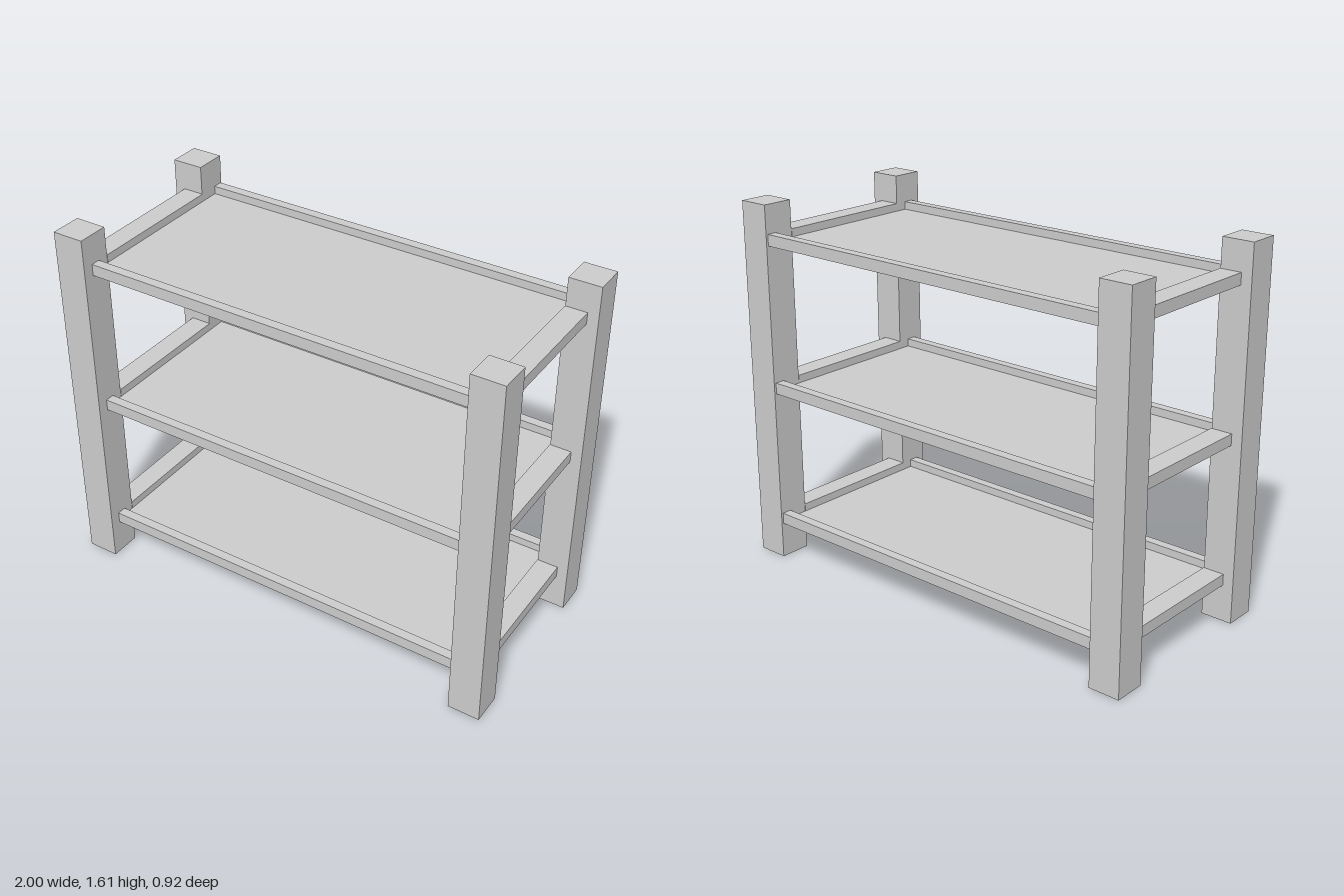
import * as THREE from 'three';

const material = new THREE.MeshStandardMaterial({ color: 0xcccccc, flatShading: true });

// Box given by its min and max corners
function box(name, [x0, y0, z0], [x1, y1, z1]) {
  const mesh = new THREE.Mesh(new THREE.BoxGeometry(x1 - x0, y1 - y0, z1 - z0), material);
  mesh.name = name;
  mesh.position.set((x0 + x1) / 2, (y0 + y1) / 2, (z0 + z1) / 2);
  return mesh;
}

// Tray shelf: thin panel flush with the underside of four rails
function createShelf() {
  const shelf = new THREE.Group();
  const h = 0.05, panel = 0.015, inner = 0.858;
  shelf.add(
    box('shelfPanel', [-inner, 0, -0.407], [inner, panel, 0.37]),
    box('frontRail', [-inner, 0, 0.37], [inner, h, 0.412]),
    box('backRail', [-inner, 0, -0.45], [inner, h, -0.407]),
    box('leftRail', [inner, 0, -0.318], [0.953, h, 0.318]),
    box('rightRail', [-0.953, 0, -0.318], [-inner, h, 0.318]),
  );
  return shelf;
}

export function createModel() {
  const model = new THREE.Group();
  model.name = 'shelfUnit';

  // Corner posts
  for (const [xName, sx] of [['Left', 1], ['Right', -1]]) {
    for (const [zName, sz] of [['front', 1], ['back', -1]]) {
      const post = box(zName + xName + 'Post', [-0.07, 0, -0.07], [0.07, 1.605, 0.07]);
      post.position.x = sx * 0.93;
      post.position.z = sz * 0.388;
      model.add(post);
    }
  }

  // Three shelves, placed by their underside
  const levels = { lowerShelf: 0.16, middleShelf: 0.775, upperShelf: 1.43 };
  for (const [name, y] of Object.entries(levels)) {
    const shelf = createShelf();
    shelf.name = name;
    shelf.position.y = y;
    model.add(shelf);
  }
  return model;
}
